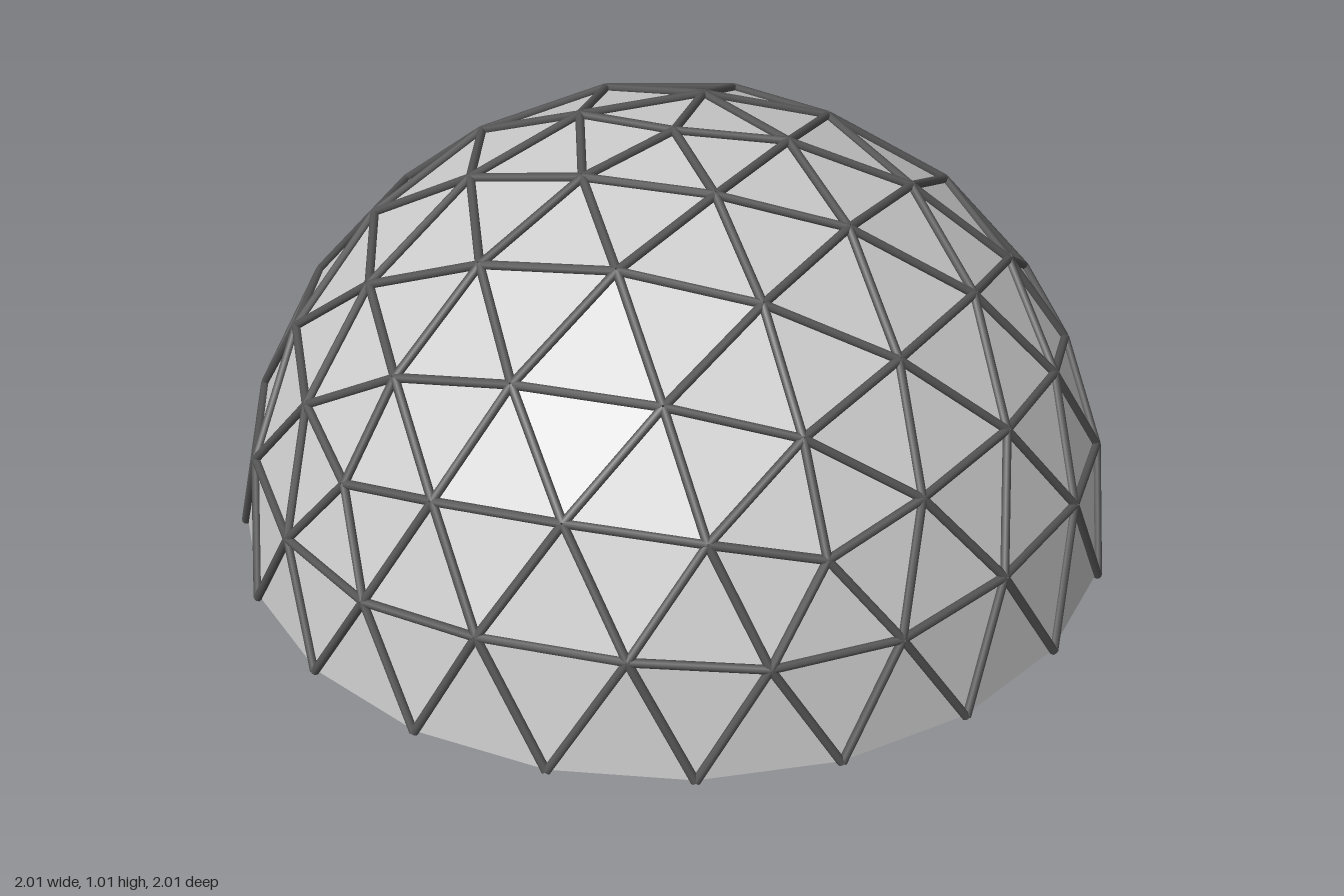
import * as THREE from 'three';
import { mergeGeometries } from 'three/addons/utils/BufferGeometryUtils.js';

const FREQ = 4;        // subdivisions per icosahedron edge
const RADIUS = 0.988;
const STRUT_R = 0.01;
const STRUT_OUT = 0.005; // struts sit slightly proud of the panels
const LIFT = 0.005;      // lets the tilted strut ends rest on the ground

// Upper (+) or lower (-) ring corner of an icosahedron standing on a vertex
function ringPoint(step, sign) {
  const a = (step * Math.PI) / 5;
  const r = 2 / Math.sqrt(5);
  return new THREE.Vector3(r * Math.cos(a), sign / Math.sqrt(5), -r * Math.sin(a));
}

// The cap and the middle band of the icosahedron
function icosahedronFaces() {
  const top = new THREE.Vector3(0, 1, 0);
  const faces = [];
  for (let i = 0; i < 5; i++) {
    const u0 = ringPoint(2 * i, 1), u1 = ringPoint(2 * i + 2, 1);
    const l0 = ringPoint(2 * i + 1, -1), l1 = ringPoint(2 * i + 3, -1);
    faces.push([top, u0, u1], [u0, l0, u1], [l0, l1, u1]);
  }
  return faces;
}

// Split every face, project onto the sphere, keep the upper half
function domeTriangles() {
  const triangles = [];
  for (const [a, b, c] of icosahedronFaces()) {
    const point = (i, j) => new THREE.Vector3()
      .addScaledVector(a, FREQ - i - j)
      .addScaledVector(b, i)
      .addScaledVector(c, j)
      .setLength(RADIUS);
    const add = (...tri) => {
      if (tri.every((p) => p.y > -1e-4)) triangles.push(tri);
    };
    for (let i = 0; i < FREQ; i++) {
      for (let j = 0; j < FREQ - i; j++) {
        add(point(i, j), point(i + 1, j), point(i, j + 1));
        if (i + j < FREQ - 1) add(point(i + 1, j), point(i + 1, j + 1), point(i, j + 1));
      }
    }
  }
  return triangles;
}

// Round bar along one edge, pushed outward a little
function strut(p, q) {
  const dir = q.clone().sub(p);
  const mid = p.clone().add(q).multiplyScalar(0.5);
  mid.addScaledVector(mid.clone().normalize(), STRUT_OUT);
  const turn = new THREE.Quaternion().setFromUnitVectors(
    new THREE.Vector3(0, 1, 0), dir.clone().normalize());
  return new THREE.CylinderGeometry(STRUT_R, STRUT_R, dir.length(), 8)
    .applyQuaternion(turn)
    .translate(mid.x, mid.y, mid.z);
}

export function createModel() {
  const group = new THREE.Group();
  group.name = 'geodesicDome';
  const triangles = domeTriangles();

  // Flat triangular panels, open underneath
  const panelGeometry = new THREE.BufferGeometry().setFromPoints(triangles.flat());
  panelGeometry.computeVertexNormals();
  const panels = new THREE.Mesh(panelGeometry, new THREE.MeshStandardMaterial({
    color: 0xcccccc, flatShading: true, side: THREE.DoubleSide,
  }));
  panels.name = 'panels';

  // One strut per shared edge; the ground ring has none
  const key = (p) => p.toArray().map((v) => Math.round(v * 1000)).join(',');
  const edges = new Map();
  for (const tri of triangles) {
    tri.forEach((p, k) => {
      const q = tri[(k + 1) % 3];
      if (p.y + q.y > 1e-3) edges.set([key(p), key(q)].sort().join('|'), [p, q]);
    });
  }
  const strutGeometry = mergeGeometries([...edges.values()].map(([p, q]) => strut(p, q)));
  const struts = new THREE.Mesh(strutGeometry, new THREE.MeshStandardMaterial({ color: 0x555555 }));
  struts.name = 'struts';

  group.add(panels, struts);
  group.children.forEach((mesh) => { mesh.position.y = LIFT; });
  return group;
}
